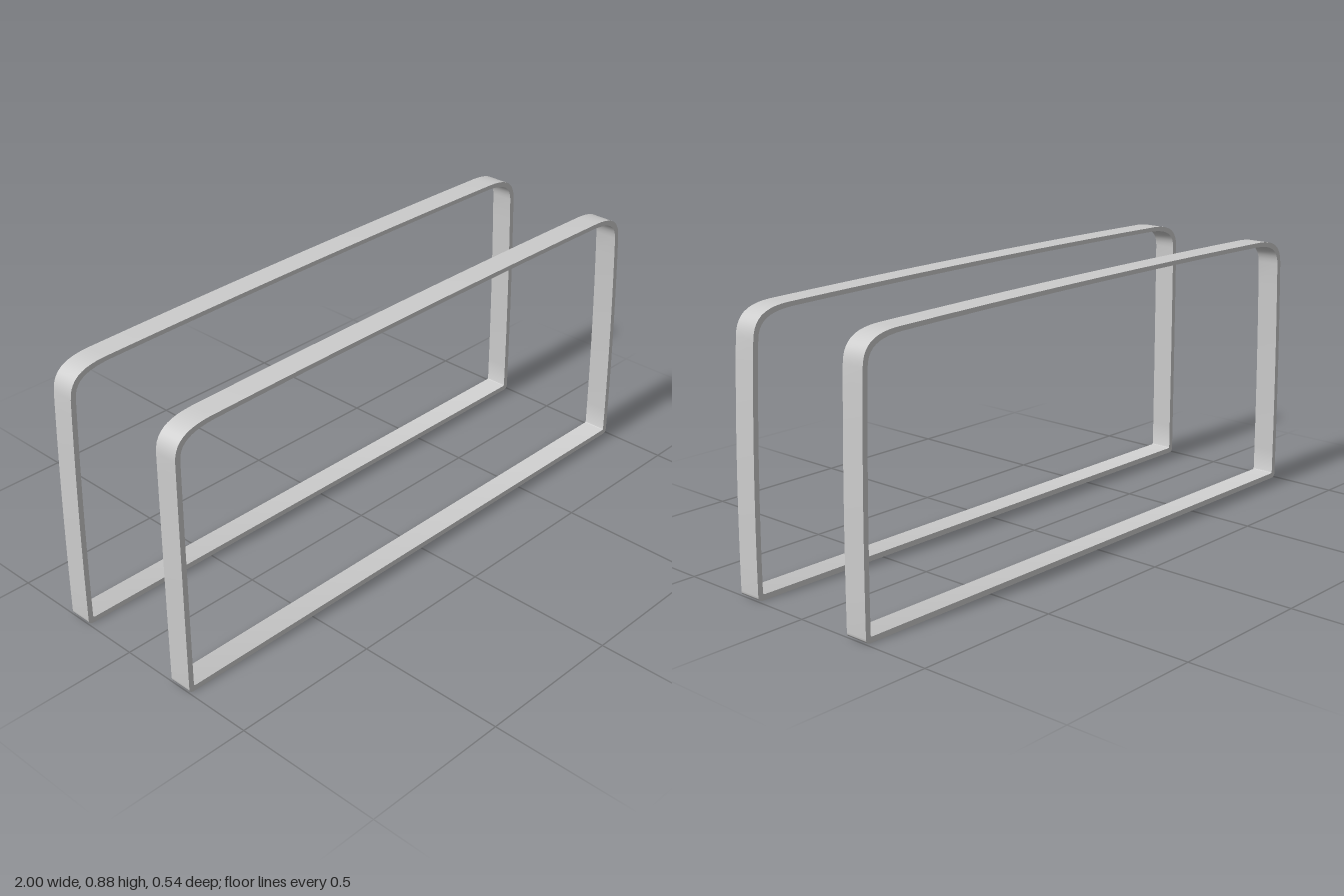
import * as THREE from 'three';
import { toCreasedNormals } from 'three/addons/utils/BufferGeometryUtils.js';

const THICK = 0.018; // wall thickness of the band
const DEPTH = 0.078; // width of the band along z

// Closed hoop outline, inset by t; each side leans inward towards the top
function traceHoop(path, t, leanLeft, leanRight) {
  const b = 1 - t;
  const r = 0.016 - t * 0.5;
  const shoulder = 0.785;
  const top = 0.875 - t * 0.8;
  const crown = 0.89 - t * 0.8;
  const xr = b - leanRight, xl = -(b - leanLeft);

  path.moveTo(-b + r, t);
  path.lineTo(b - r, t);
  path.quadraticCurveTo(b, t, b, t + r);
  // right side and shoulder
  path.quadraticCurveTo(b, 0.42, xr, shoulder);
  path.bezierCurveTo(xr - leanRight * 0.2, 0.845 - t * 0.5, xr - 0.04, top - 0.003, xr - 0.13, top);
  // slightly crowned top
  path.quadraticCurveTo(0, crown, xl + 0.13, top);
  // left shoulder and side
  path.bezierCurveTo(xl + 0.04, top - 0.003, xl + leanLeft * 0.2, 0.845 - t * 0.5, xl, shoulder);
  path.quadraticCurveTo(-b, 0.42, -b, t + r);
  path.quadraticCurveTo(-b, t, -b + r, t);
  return path;
}

function makeHoop(name, z, leanLeft, leanRight, material) {
  const shape = traceHoop(new THREE.Shape(), 0, leanLeft, leanRight);
  shape.holes.push(traceHoop(new THREE.Path(), THICK, leanLeft, leanRight));
  const geometry = new THREE.ExtrudeGeometry(shape, {
    depth: DEPTH, bevelEnabled: false, curveSegments: 10,
  });
  geometry.translate(0, 0, -DEPTH / 2);
  const hoop = new THREE.Mesh(toCreasedNormals(geometry, 0.6), material);
  hoop.name = name;
  hoop.position.z = z;
  return hoop;
}

export function createModel() {
  const model = new THREE.Group();
  model.name = 'hoopPair';
  const material = new THREE.MeshStandardMaterial({ color: 0xcccccc });

  // Front hoop has one upright side, rear hoop leans in on both
  model.add(makeHoop('frontHoop', 0.232, 0.003, 0.025, material));
  model.add(makeHoop('rearHoop', -0.231, 0.016, 0.016, material));
  return model;
}
